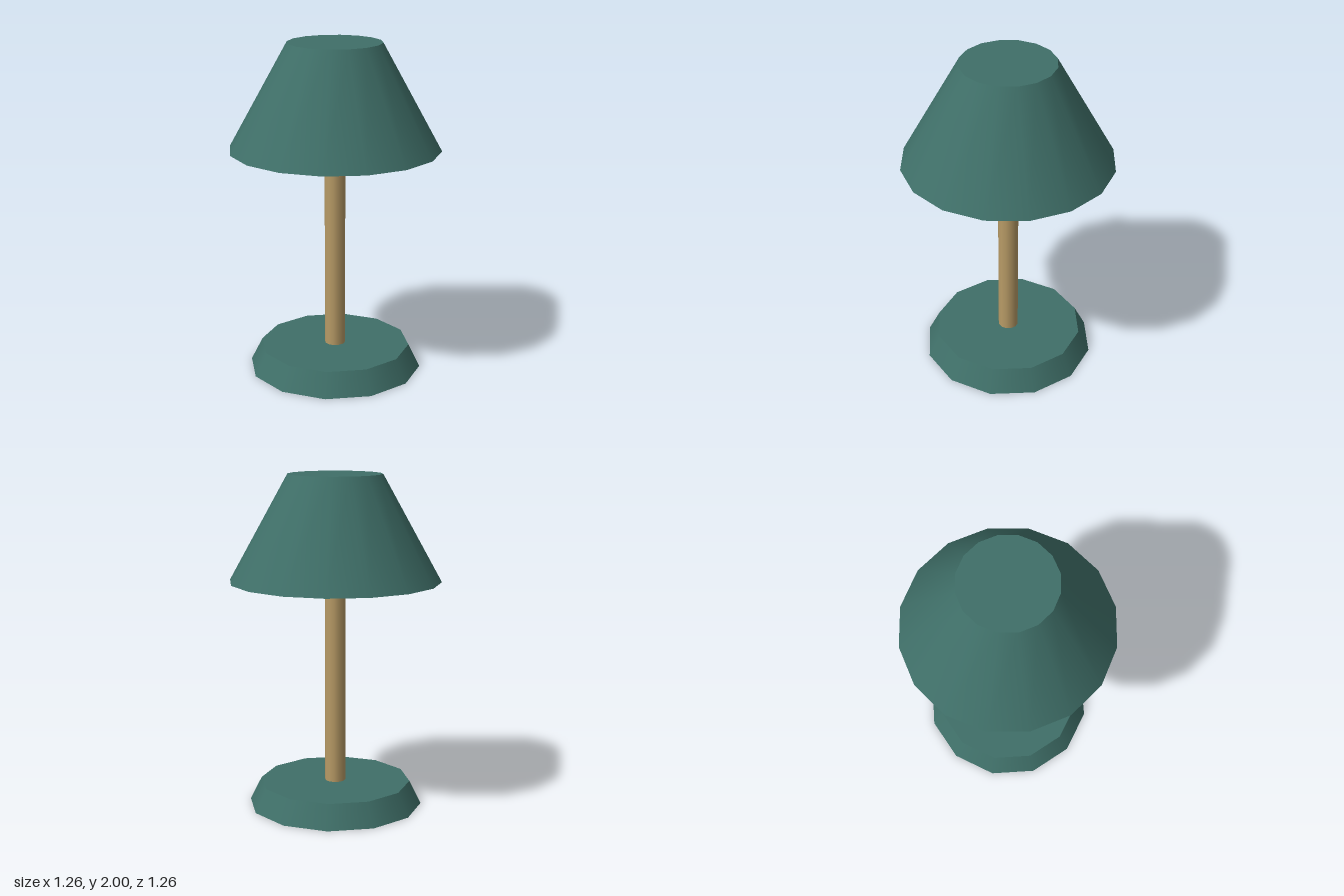
import * as THREE from 'three';

const GREEN = 0x3f6f68, WOOD = 0xb89b66, CREAM = 0xf5e8d7;

// Adds a capped, tapered round part standing between two heights
function addRound(group, name, color, rTop, rBottom, y0, y1, sides) {
  const geometry = new THREE.CylinderGeometry(rTop, rBottom, y1 - y0, sides);
  const mesh = new THREE.Mesh(geometry, new THREE.MeshStandardMaterial({ color }));
  mesh.name = name;
  mesh.position.y = (y0 + y1) / 2;
  group.add(mesh);
}

export function createModel() {
  const lamp = new THREE.Group();
  lamp.name = 'tableLamp';

  // Foot and stem
  addRound(lamp, 'base', GREEN, 0.455, 0.525, 0, 0.14, 12);
  addRound(lamp, 'stem', WOOD, 0.062, 0.062, 0.13, 1.38, 12);

  // Shade with the pale disc set just proud of its underside
  addRound(lamp, 'shade', GREEN, 0.28, 0.63, 1.37, 2, 16);
  addRound(lamp, 'shadeLiner', CREAM, 0.525, 0.525, 1.362, 1.38, 16);

  return lamp;
}
